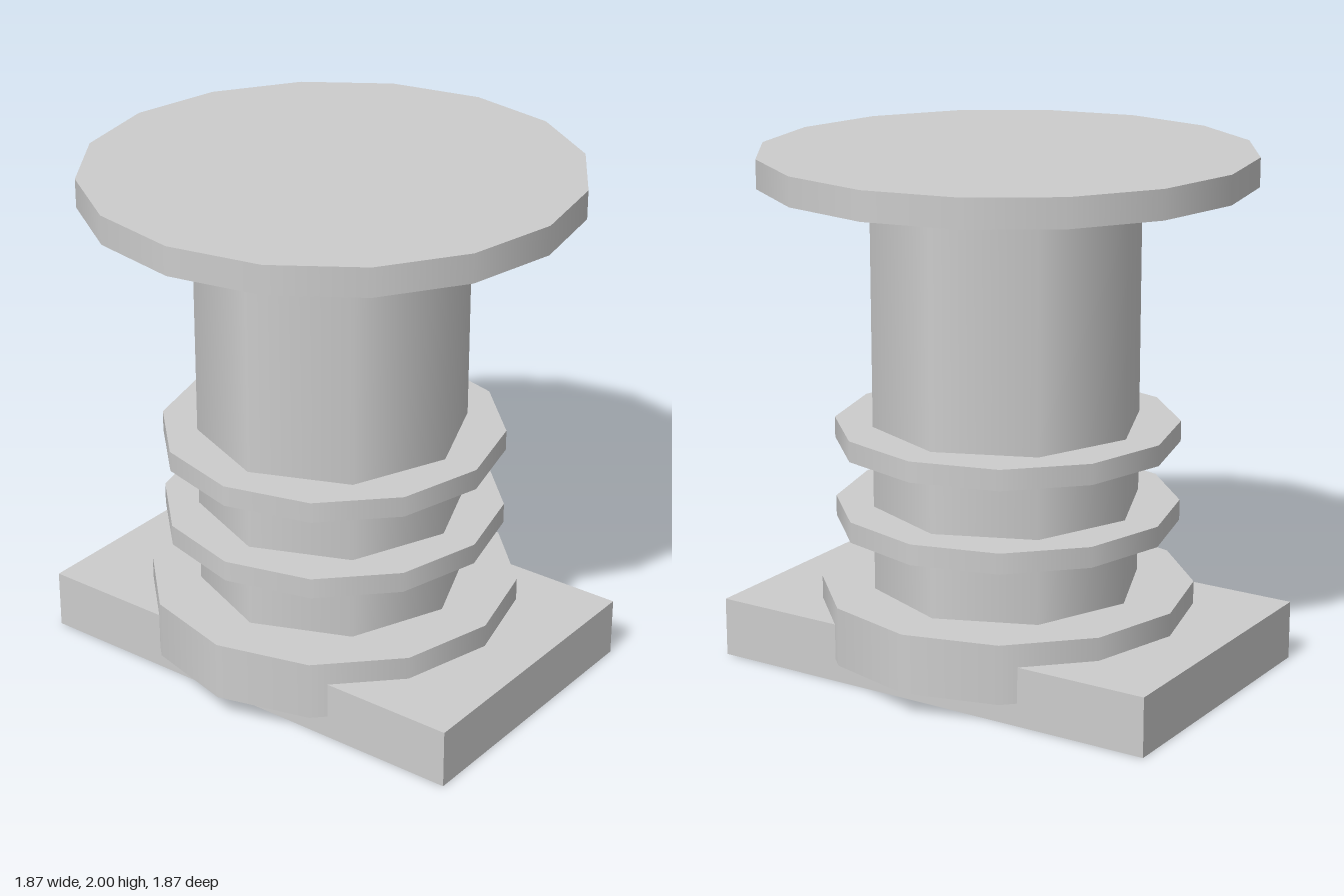
import * as THREE from 'three';

export function createModel() {
  const model = new THREE.Group();
  model.name = 'bollard';

  const grey = new THREE.MeshStandardMaterial({ color: 0xcccccc });
  grey.name = 'light grey';

  const add = (name, geometry, y) => {
    const mesh = new THREE.Mesh(geometry, grey);
    mesh.name = name;
    mesh.position.y = y;
    model.add(mesh);
  };

  // Upright disc or post between two heights, smooth around the side
  const disc = (name, radius, bottom, top, sides) =>
    add(name, new THREE.CylinderGeometry(radius, radius, top - bottom, sides), (bottom + top) / 2);

  // Rectangular foot, longest from front to back
  add('basePlate', new THREE.BoxGeometry(1.15, 0.23, 1.87), 0.115);

  // Flange sunk into the foot, bulging out at both sides
  disc('baseFlange', 0.72, 0.09, 0.32, 12);

  // Post with two collars
  disc('column', 0.52, 0.32, 1.89, 8);
  disc('lowerCollar', 0.66, 0.57, 0.65, 12);
  disc('upperCollar', 0.66, 0.885, 0.965, 12);

  // Wide cap
  disc('topPlate', 0.935, 1.89, 2, 16);

  return model;
}
